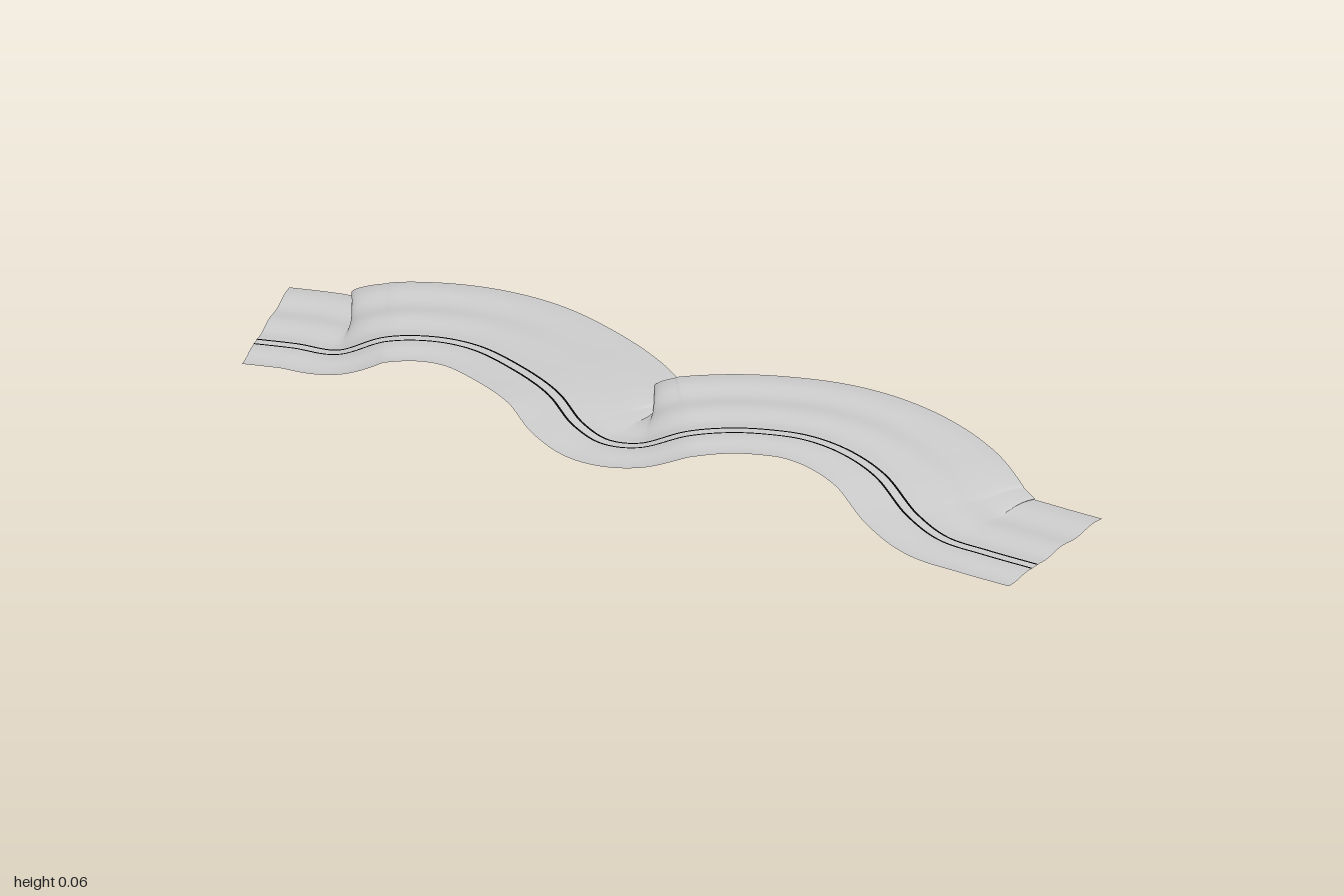
import * as THREE from 'three';

// Centre line of the track: x, height, z
const path = new THREE.CatmullRomCurve3([
  [-0.99, 0.011, -0.305], [-0.9, 0.012, -0.297], [-0.8, 0.016, -0.275], [-0.7, 0.047, -0.294],
  [-0.6, 0.051, -0.308], [-0.5, 0.051, -0.285], [-0.39, 0.05, -0.205], [-0.29, 0.048, -0.1],
  [-0.21, 0.036, 0.02], [-0.14, 0.029, 0.078], [-0.06, 0.035, 0.094], [0.04, 0.062, 0.073],
  [0.13, 0.064, 0.043], [0.216, 0.063, 0.034], [0.3, 0.061, 0.042], [0.39, 0.056, 0.082],
  [0.485, 0.046, 0.163], [0.585, 0.024, 0.303], [0.67, 0.014, 0.385], [0.77, 0.012, 0.43],
  [0.888, 0.011, 0.476],
].map((p) => new THREE.Vector3(...p)), false, 'centripetal');

const LEFT = -0.282, RIGHT = 0.108, STEPS = 260;

// Gentle ridges across the ground, fading out over the plateau
function ridge(offset, x) {
  const plateau = Math.exp(-(((x + 0.33) / 0.16) ** 2));
  const fade = Math.min(1, Math.abs(offset) / 0.05);
  return 0.003 * Math.sin(offset * 48 + 0.6) * (1 - plateau) * fade;
}

// Sweep a flat strip along the path between two sideways offsets
function strip(from, to, columns, lift) {
  const positions = [], index = [];
  for (let i = 0; i <= STEPS; i++) {
    const p = path.getPointAt(i / STEPS);
    const t = path.getTangentAt(i / STEPS);
    const len = Math.hypot(t.x, t.z);
    for (let j = 0; j <= columns; j++) {
      const o = from + (to - from) * j / columns;
      positions.push(p.x - t.z / len * o, p.y + lift + ridge(o, p.x), p.z + t.x / len * o);
      if (i < STEPS && j < columns) {
        const a = i * (columns + 1) + j, b = a + 1, c = a + columns + 1, d = c + 1;
        index.push(a, b, c, b, d, c);
      }
    }
  }
  const g = new THREE.BufferGeometry();
  g.setAttribute('position', new THREE.Float32BufferAttribute(positions, 3));
  g.setIndex(index);
  g.computeVertexNormals();
  return g;
}

export function createModel() {
  const group = new THREE.Group();
  group.name = 'windingTrack';
  const ground = new THREE.MeshStandardMaterial({ name: 'ground grey', color: 0xcccccc, side: THREE.DoubleSide });
  const black = new THREE.MeshStandardMaterial({ name: 'rail black', color: 0x050505, side: THREE.DoubleSide });

  const add = (name, geometry, material) => {
    const mesh = new THREE.Mesh(geometry, material);
    mesh.name = name;
    group.add(mesh);
  };

  // Terrain ribbon, wider on its left side
  add('terrain', strip(LEFT, RIGHT, 40, 0), ground);

  // Pair of thin rails
  for (const [name, o] of [['leftRail', -0.012], ['rightRail', 0.012]]) {
    add(name, strip(o - 0.0025, o + 0.0025, 1, 0.0015), black);
  }
  return group;
}
